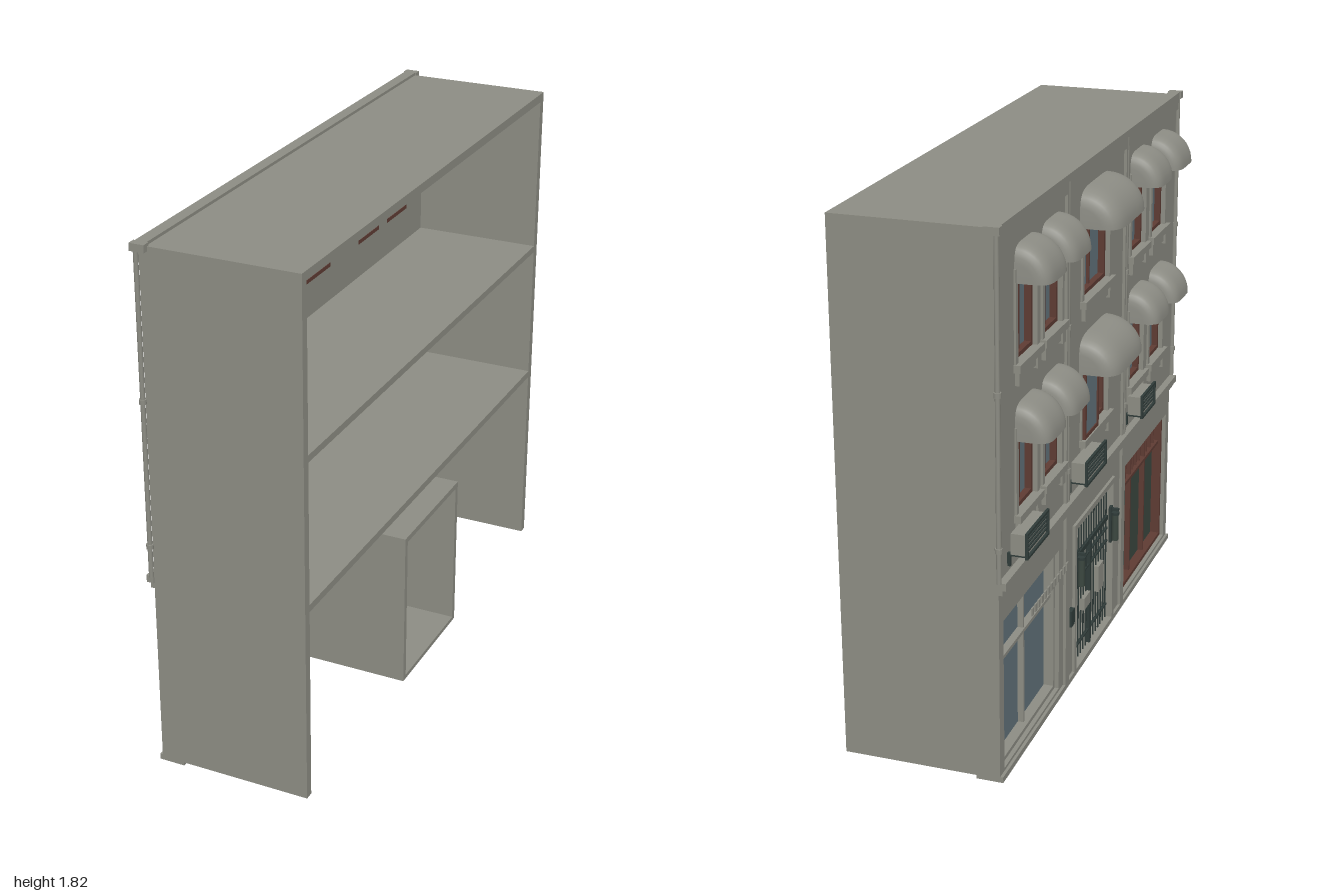
import * as THREE from 'three';

const mat = (name, color, double) => {
  const m = new THREE.MeshStandardMaterial({ color });
  m.name = name;
  if (double) m.side = THREE.DoubleSide;
  return m;
};

export function createModel() {
  const model = new THREE.Group();
  const stone = mat('stone grey', 0x8c8c83);
  const hoodMat = mat('hood grey', 0x8c8c84, true);
  const glass = mat('blue glass', 0x62737b);
  const green = mat('dark green', 0x3b4740);
  const brown = mat('brown frame', 0x5e3b33);
  const metal = mat('dark metal', 0x2f3b39);

  const add = (name, geo, m, parent = model) => {
    const mesh = new THREE.Mesh(geo, m);
    mesh.name = name;
    parent.add(mesh);
    return mesh;
  };
  const box = (name, m, x0, x1, y0, y1, z0, z1, parent) => {
    const b = add(name, new THREE.BoxGeometry(x1 - x0, y1 - y0, z1 - z0), m, parent);
    b.position.set((x0 + x1) / 2, (y0 + y1) / 2, (z0 + z1) / 2);
    return b;
  };
  const rod = (name, m, x, z, y0, y1, r, parent) => {
    const c = add(name, new THREE.CylinderGeometry(r, r, y1 - y0, 10), m, parent);
    c.position.set(x, (y0 + y1) / 2, z);
    return c;
  };
  // rectangular ring of four bars around an opening
  const ring = (name, m, x0, x1, y0, y1, z0, z1, t, parent) => {
    box(name, m, x0, x1, y0, y0 + t, z0, z1, parent);
    box(name, m, x0, x1, y1 - t, y1, z0, z1, parent);
    box(name, m, x0, x1, y0 + t, y1 - t, z0, z0 + t, parent);
    box(name, m, x0, x1, y0 + t, y1 - t, z1 - t, z1, parent);
  };
  // upright wall across z with rectangular holes [z0, z1, y0, y1]
  const wall = (name, x0, x1, outer, holes) => {
    const trace = (p, [z0, z1, y0, y1]) =>
      p.moveTo(z0, y0).lineTo(z1, y0).lineTo(z1, y1).lineTo(z0, y1).closePath();
    const shape = new THREE.Shape();
    trace(shape, outer);
    for (const h of holes) {
      const path = new THREE.Path();
      trace(path, h);
      shape.holes.push(path);
    }
    const geo = new THREE.ExtrudeGeometry(shape, { depth: x1 - x0, bevelEnabled: false });
    add(name, geo.rotateY(-Math.PI / 2).translate(x1, 0, 0), stone);
  };

  // openings
  const columns = [[0.658, 0.834], [0.396, 0.572], [-0.155, 0.128], [-0.56, -0.385], [-0.807, -0.63]];
  const storeys = [[0.86, 1.145], [1.35, 1.645]];
  const windows = storeys.flatMap(([y0, y1]) => columns.map(([z0, z1]) => [z0, z1, y0, y1]));
  const greenShop = [0.37, 0.94, 0.03, 0.55];
  const blueShop = [-0.935, -0.39, 0.03, 0.55];
  const gate = [-0.225, 0.2, 0.02, 0.555];

  // shell, open at the back
  wall('facade', -0.2, -0.13, [-0.975, 0.98, 0.012, 1.81], [...windows, greenShop, blueShop, gate]);
  box('sideWall', stone, -0.13, 0.33, 0.012, 1.81, 0.95, 0.98);
  box('sideWall', stone, -0.13, 0.33, 0.012, 1.81, -0.975, -0.945);
  box('roof', stone, -0.13, 0.33, 1.78, 1.81, -0.945, 0.95);
  box('upperFloor', stone, -0.13, 0.33, 1.203, 1.227, -0.945, 0.95);
  box('lowerFloor', stone, -0.13, 0.33, 0.69, 0.715, -0.945, 0.95);
  box('baseStrip', stone, -0.21, -0.12, 0, 0.02, -0.975, 0.98);

  // entrance passage, open at both ends
  wall('passagePortal', -0.13, -0.05, [-0.345, 0.325, 0.015, 0.685], [gate]);
  for (const [z0, z1] of [[0.2, 0.22], [-0.245, -0.225]])
    box('passageWall', stone, -0.05, 0.33, 0, 0.57, z0, z1);
  box('passageCeiling', stone, -0.05, 0.33, 0.55, 0.57, -0.225, 0.2);
  box('passageFloor', stone, -0.2, 0.33, 0, 0.015, -0.24, 0.215);

  // cornices, pilasters and portal surround
  box('parapet', stone, -0.215, -0.175, 1.795, 1.82, -0.98, 0.985);
  box('cornice', stone, -0.21, -0.2, 1.755, 1.795, -0.975, 0.98);
  box('bandCornice', stone, -0.225, -0.2, 0.675, 0.7, -0.98, 0.985);
  box('bandCornice', stone, -0.213, -0.2, 0.655, 0.675, -0.975, 0.98);
  for (const z of [-0.345, 0.305]) {
    box('pilaster', stone, -0.21, -0.2, 0.7, 1.755, z, z + 0.04);
    box('portalPilaster', stone, -0.21, -0.2, 0.02, 0.655, z, z + 0.04);
  }
  ring('portalSurround', stone, -0.21, -0.2, 0.0, 0.575, -0.245, 0.22, 0.02);

  // drainpipes
  for (const z of [-0.985, 0.988, -0.325, 0.325]) {
    rod('drainpipe', stone, -0.205, z, 0.7, 1.8, 0.008);
    for (const y of [0.81, 1.31]) rod('pipeClamp', stone, -0.205, z, y - 0.008, y + 0.008, 0.012);
  }
  for (const z of [-0.986, 0.986]) box('pipeHead', stone, -0.22, -0.17, 1.795, 1.82, z - 0.014, z + 0.014);

  // barrel-shaped window hoods with rounded ends
  const hood = (z0, z1, y, depth, height) => {
    const geo = new THREE.PlaneGeometry(2, 1, 24, 10);
    const p = geo.attributes.position;
    for (let i = 0; i < p.count; i++) {
      const t = Math.sin(p.getX(i) * Math.PI / 2);
      const a = (p.getY(i) + 0.5) * Math.PI / 2;
      const s = Math.pow(Math.max(0, 1 - Math.abs(t) ** 5), 0.2);
      p.setXYZ(i, -depth * s * Math.cos(a), height * s * Math.sin(a), t * (z1 - z0) / 2);
    }
    geo.computeVertexNormals();
    add('windowHood', geo, hoodMat).position.set(-0.2, y, (z0 + z1) / 2);
  };

  // windows with frames, mullions, sills and hoods
  storeys.forEach(([y0, y1], row) => columns.forEach(([z0, z1], col) => {
    const g = new THREE.Group();
    g.name = 'window';
    model.add(g);
    const centre = col === 2, open = centre && row === 0, mid = (z0 + z1) / 2;
    ring('windowFrame', brown, -0.19, -0.13, y0, y1, z0, z1, 0.014, g);
    box('pane', open ? green : glass, -0.168, -0.16, y0 + 0.012, y1 - 0.012, z0 + 0.012, z1 - 0.012, g);
    if (!open) box('mullion', brown, -0.178, -0.15, y0 + 0.014, y1 - 0.014, mid - 0.005, mid + 0.005, g);
    else {
      ring('casementFrame', brown, -0.217, -0.203, y0, y1 - 0.01, z0 - 0.01, mid, 0.014, g);
      box('casementPane', glass, -0.213, -0.207, y0 + 0.014, y1 - 0.024, z0 + 0.004, mid - 0.014, g);
    }
    box('sill', stone, -0.222, -0.19, y0 - 0.025, y0, z0 - 0.025, z1 + 0.025, g);
    box('apron', stone, -0.208, -0.2, y0 - 0.06, y0 - 0.025, z0 + 0.02, z1 - 0.02, g);
    for (const z of [z0 - 0.012, z1 - 0.018]) {
      box('corbel', stone, -0.215, -0.2, y0 - 0.07, y0 - 0.025, z, z + 0.03, g);
    }
    for (const z of [z0 - 0.02, z1])
      box('jamb', stone, -0.207, -0.2, y0, y1, z, z + 0.02, g);
    hood(z0 - (centre ? 0.035 : 0.014), z1 + (centre ? 0.035 : 0.014), y1 - 0.043,
      centre ? 0.135 : 0.11, centre ? 0.125 : 0.115);
  }));

  // shopfronts
  const shop = (m, bars, [z0, z1, y0, y1], count, transom) => {
    const g = new THREE.Group();
    g.name = 'shopfront';
    model.add(g);
    box('shopPane', m, -0.15, -0.131, y0, y1, z0, z1, g);
    ring('shopFrame', bars, -0.185, -0.15, y0, y1, z0, z1, 0.014, g);
    box('transom', bars, -0.175, -0.15, transom, transom + 0.012, z0, z1, g);
    for (let i = 1; i < count; i++) {
      const z = z0 + (z1 - z0) * i / count;
      box('shopMullion', bars, -0.17, -0.15, y0, y1, z - 0.005, z + 0.005, g);
    }
    return g;
  };
  const dark = shop(green, brown, greenShop, 3, 0.43);
  for (let i = 1; i < 12; i++) {
    const z = 0.37 + 0.57 * i / 12;
    box('transomBar', brown, -0.165, -0.15, 0.44, 0.54, z - 0.003, z + 0.003, dark);
  }
  shop(glass, stone, blueShop, 2, 0.38);
  for (let i = 0; i < 12; i++)
    box('shopRailBlock', stone, -0.282, -0.277, 0.562, 0.588, -0.9 + i * 0.031, -0.882 + i * 0.031);

  // iron gate
  const gateGroup = new THREE.Group();
  gateGroup.name = 'gate';
  model.add(gateGroup);
  for (let i = 0; i <= 14; i++)
    rod('gateBar', metal, -0.185, -0.22 + i * 0.0295, 0.02, 0.555, 0.0028, gateGroup);
  box('gatePost', metal, -0.193, -0.177, 0.02, 0.42, -0.019, -0.007, gateGroup);
  for (const [y, h] of [[0.41, 0.018], [0.375, 0.006], [0.325, 0.006], [0.07, 0.006]])
    box('gateRail', metal, -0.19, -0.18, y, y + h, -0.225, 0.2, gateGroup);
  box('gatePlate', stone, -0.2, -0.175, 0.185, 0.285, 0.06, 0.12, gateGroup);
  box('gatePlate', stone, -0.2, -0.175, 0.19, 0.235, -0.105, -0.035, gateGroup);

  // lanterns and door panel beside the gate
  for (const z of [-0.212, 0.187]) {
    box('lanternArm', metal, -0.235, -0.2, 0.455, 0.465, z - 0.005, z + 0.005);
    rod('lantern', green, -0.222, z, 0.34, 0.44, 0.012);
    rod('lanternCap', metal, -0.222, z, 0.44, 0.45, 0.015);
    box('lanternPlate', metal, -0.21, -0.2, 0.33, 0.47, z - 0.01, z + 0.01);
  }
  box('doorPanel', metal, -0.216, -0.2, 0.22, 0.28, -0.3, -0.265);

  // wall-mounted cooling units
  for (const [z0, z1] of [[-0.907, -0.72], [-0.31, -0.11], [0.35, 0.5]]) {
    const g = new THREE.Group();
    g.name = 'coolingUnit';
    model.add(g);
    box('unitBody', stone, -0.265, -0.215, 0.765, 0.835, z0, z1, g);
    ring('unitFrame', metal, -0.274, -0.265, 0.758, 0.845, z0 - 0.01, z1 + 0.01, 0.008, g);
    for (let i = 1; i < 5; i++)
      box('unitSlat', metal, -0.27, -0.265, 0.765 + i * 0.014, 0.77 + i * 0.014, z0, z1, g);
    for (const z of [z0 + 0.01, z1 - 0.02]) {
      box('unitBracket', metal, -0.27, -0.2, 0.755, 0.765, z, z + 0.01, g);
      box('unitBracket', metal, -0.21, -0.2, 0.72, 0.765, z, z + 0.01, g);
    }
  }
  return model;
}
